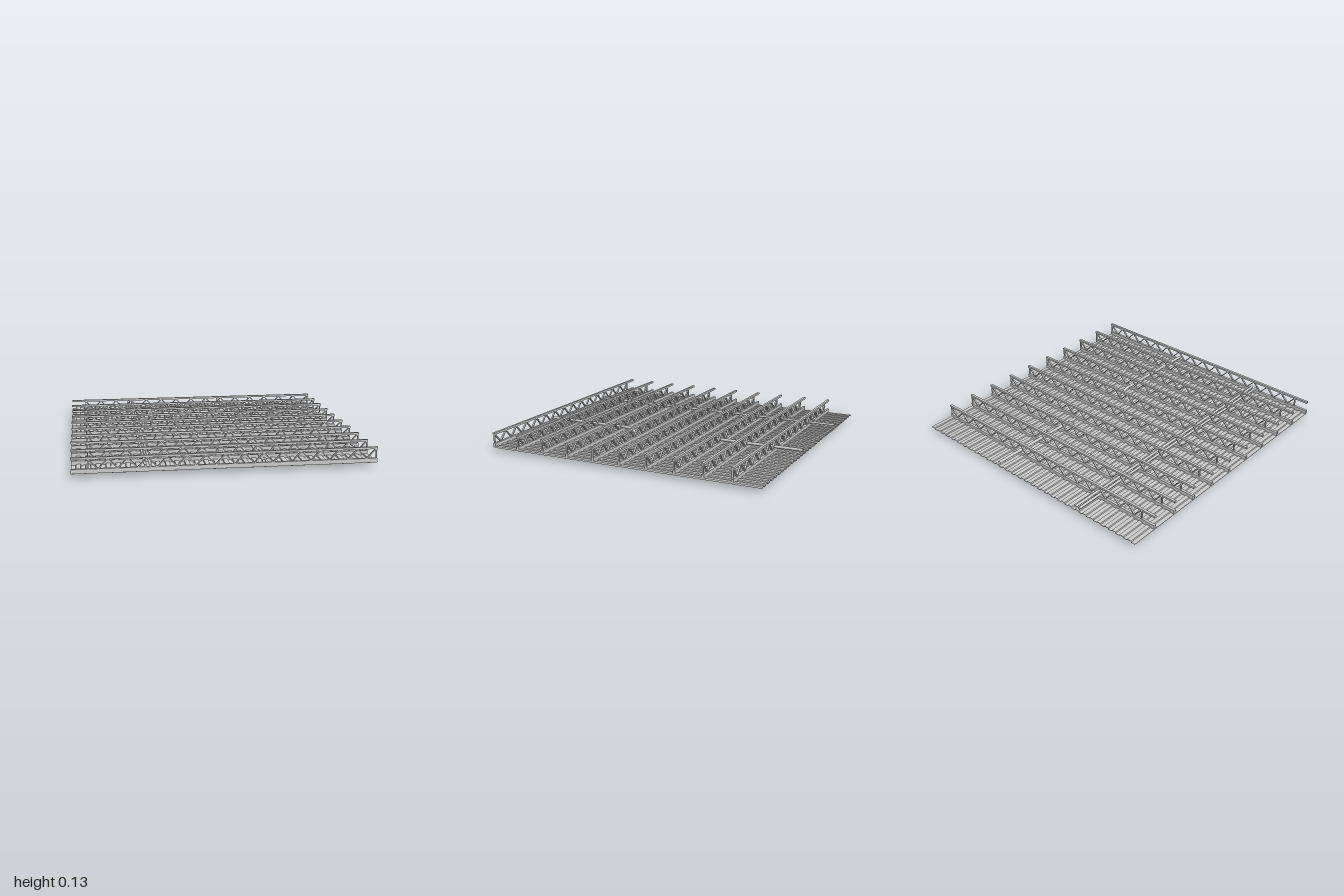
import * as THREE from 'three';

const grey = new THREE.MeshStandardMaterial({ color: 0xcccccc });

function add(parent, name, geometry, x = 0, y = 0, z = 0) {
  const mesh = new THREE.Mesh(geometry, grey);
  mesh.name = name;
  mesh.position.set(x, y, z);
  parent.add(mesh);
  return mesh;
}

// Flat bar between two points of the truss plane
function bar(parent, name, x1, y1, x2, y2) {
  const length = Math.hypot(x2 - x1, y2 - y1);
  const mesh = add(parent, name, new THREE.BoxGeometry(length, 0.007, 0.012), (x1 + x2) / 2, (y1 + y2) / 2);
  mesh.rotation.z = Math.atan2(y2 - y1, x2 - x1);
}

// Corrugated sheet: a thin trapezoid wave pulled along z
function deckGeometry() {
  const ribs = 31, pitch = 1.97 / ribs, low = 0.027, high = 0.035, t = 0.003;
  const wave = [];
  for (let i = 0; i < ribs; i++) {
    const x = -0.985 + i * pitch;
    wave.push([x, low], [x + pitch * 0.46, low], [x + pitch * 0.5, high], [x + pitch * 0.96, high]);
  }
  wave.push([0.985, low]);
  const outline = [...wave, ...wave.map(([x, y]) => [x, y + t]).reverse()];
  const shape = new THREE.Shape(outline.map(([x, y]) => new THREE.Vector2(x, y)));
  const geometry = new THREE.ExtrudeGeometry(shape, { depth: 1.985, bevelEnabled: false });
  return geometry.translate(0, 0, -0.995);
}

// Open-web joist: two chords, end posts and zigzag web
function truss() {
  const group = new THREE.Group();
  group.name = 'truss';
  add(group, 'topChord', new THREE.BoxGeometry(1.97, 0.014, 0.018), 0, 0.127, 0);
  add(group, 'bottomChord', new THREE.BoxGeometry(1.97, 0.029, 0.018), 0, 0.0445, 0);
  const bays = 15, start = -0.878, step = (0.976 - start) / bays;
  const low = 0.056, high = 0.122;
  bar(group, 'endPost', start, low, start, high);
  bar(group, 'endPost', 0.979, low, 0.979, high);
  for (let i = 0; i < bays; i++) {
    const x = start + i * step;
    bar(group, 'webBar', x, high, x + step / 2, low);
    bar(group, 'webBar', x + step / 2, low, x + step, high);
  }
  return group;
}

export function createModel() {
  const model = new THREE.Group();
  model.name = 'roofSection';
  add(model, 'corrugatedDeck', deckGeometry());

  // Ten trusses from back to front
  for (let i = 0; i < 10; i++) {
    const joist = truss();
    joist.position.z = i === 9 ? 0.989 : -0.8 + i * 0.199;
    model.add(joist);
  }

  // Pair of straight pipes
  for (const x of [-0.52, -0.489]) {
    const pipe = add(model, 'straightPipe', new THREE.CylinderGeometry(0.009, 0.009, 2, 16), x, 0.068, 0);
    pipe.rotation.x = Math.PI / 2;
  }

  // Pipe that dips below the deck in the middle
  const path = new THREE.CurvePath();
  const v = (y, z) => new THREE.Vector3(0.238, y, z);
  path.add(new THREE.LineCurve3(v(0.068, -1), v(0.068, -0.36)));
  path.add(new THREE.QuadraticBezierCurve3(v(0.068, -0.36), v(0.068, -0.315), v(0.045, -0.295)));
  path.add(new THREE.QuadraticBezierCurve3(v(0.045, -0.295), v(0.011, -0.265), v(0.011, -0.25)));
  path.add(new THREE.LineCurve3(v(0.011, -0.25), v(0.011, 0.25)));
  path.add(new THREE.QuadraticBezierCurve3(v(0.011, 0.25), v(0.011, 0.265), v(0.045, 0.295)));
  path.add(new THREE.QuadraticBezierCurve3(v(0.045, 0.295), v(0.068, 0.315), v(0.068, 0.36)));
  path.add(new THREE.LineCurve3(v(0.068, 0.36), v(0.068, 1)));
  const dip = add(model, 'dippedPipe', new THREE.TubeGeometry(path, 240, 0.011, 14));
  dip.material = grey.clone();
  dip.material.side = THREE.DoubleSide;

  // Cross pipe with a collar at each end
  const cross = add(model, 'crossPipe', new THREE.CylinderGeometry(0.009, 0.009, 0.8, 16), -0.138, 0.068, -0.525);
  cross.rotation.z = Math.PI / 2;
  for (const x of [-0.54, 0.262]) {
    const collar = add(model, 'pipeCollar', new THREE.CylinderGeometry(0.013, 0.013, 0.018, 16), x, 0.068, -0.525);
    collar.rotation.z = Math.PI / 2;
  }
  return model;
}
